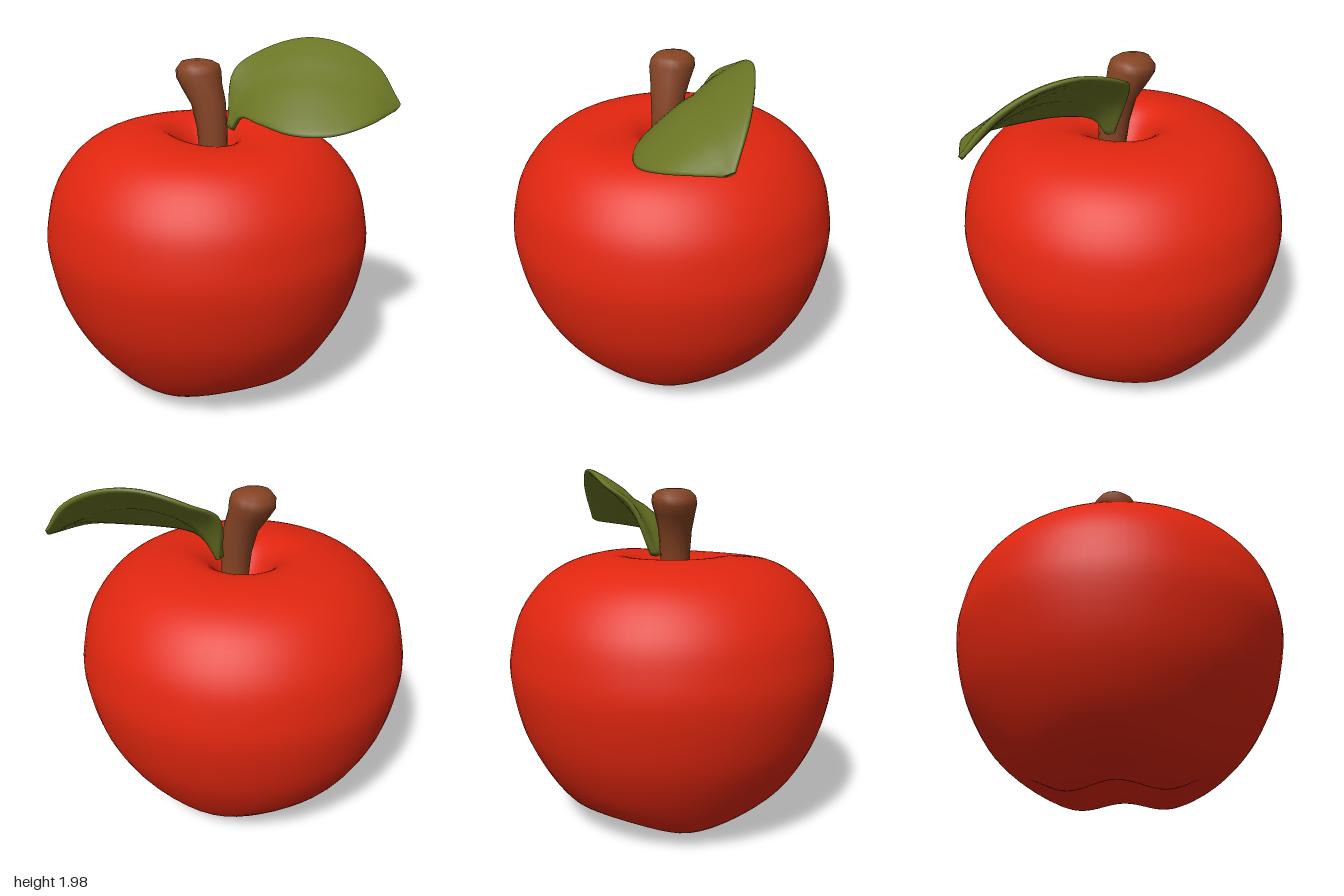
import * as THREE from 'three';
import { mergeVertices } from 'three/addons/utils/BufferGeometryUtils.js';

const mat = (name, color) => {
  const m = new THREE.MeshStandardMaterial({ color });
  m.name = name;
  return m;
};
const V = (p) => new THREE.Vector3(...p);
const curve = (pts) => new THREE.CatmullRomCurve3(pts.map(V));

// Weld coincident points so the surface shades smoothly
function smooth(geo) {
  geo.deleteAttribute('uv');
  geo.deleteAttribute('normal');
  const g = mergeVertices(geo, 1e-4);
  g.computeVertexNormals();
  return g;
}

// Closed skin over equal-length rings of points, capped at both ends
function skin(rings) {
  const n = rings[0].length, pos = [], idx = [];
  rings.forEach((ring) => ring.forEach((p) => pos.push(p.x, p.y, p.z)));
  for (let i = 0; i < rings.length - 1; i++) {
    for (let j = 0; j < n; j++) {
      const a = i * n + j, b = i * n + (j + 1) % n;
      idx.push(a, b, a + n, b, b + n, a + n);
    }
  }
  const last = (rings.length - 1) * n;
  for (let j = 1; j < n - 1; j++) {
    idx.push(0, j + 1, j, last, last + j, last + j + 1);
  }
  const g = new THREE.BufferGeometry();
  g.setAttribute('position', new THREE.Float32BufferAttribute(pos, 3));
  g.setIndex(idx);
  g.computeVertexNormals();
  return g;
}

// Fruit body: lathed profile with four lobes below and an uneven rim above
function fruitGeometry() {
  const profile = new THREE.SplineCurve([
    [0, 0.16], [0.1, 0.13], [0.21, 0.05], [0.32, 0.01], [0.43, 0.03], [0.56, 0.1],
    [0.66, 0.2], [0.785, 0.4], [0.87, 0.6], [0.92, 0.86], [0.905, 1.04], [0.85, 1.22],
    [0.72, 1.39], [0.55, 1.49], [0.33, 1.53], [0.2, 1.48], [0.11, 1.36], [0, 1.27],
  ].map((p) => new THREE.Vector2(...p))).getPoints(68);
  profile.forEach((p) => { p.x = Math.max(0, p.x); });
  profile[0].x = profile[profile.length - 1].x = 0;
  const geo = new THREE.LatheGeometry(profile, 56);
  const pos = geo.attributes.position;
  for (let i = 0; i < pos.count; i++) {
    let x = pos.getX(i), y = pos.getY(i), z = pos.getZ(i);
    const r = Math.hypot(x, z), a = Math.atan2(z, x);
    if (y < 0.5) {
      const notch = 0.5 - 0.5 * Math.cos(4 * a);
      const pull = 1 - 0.05 * notch * Math.exp(-(((y - 0.1) / 0.12) ** 2));
      y += 0.06 * notch * Math.exp(-(((r - 0.4) / 0.17) ** 2));
      x *= pull;
      z *= pull;
    } else if (y > 1.2) {
      const dip = Math.max(0, Math.cos(a - Math.PI / 4)) ** 2;
      y -= 0.05 * dip * Math.exp(-(((r - 0.3) / 0.2) ** 2));
    }
    pos.setXYZ(i, x, y, z);
  }
  return smooth(geo);
}

// Stem: rings along a bent path, swelling to a rounded knob
function stemGeometry() {
  const stations = [ // x, y, z, radius
    [0.02, 1.22, 0.02, 0.08], [0.01, 1.4, 0.03, 0.08], [0.0, 1.52, 0.025, 0.085],
    [-0.025, 1.66, 0.02, 0.095], [-0.07, 1.75, 0.01, 0.112], [-0.092, 1.81, 0.003, 0.126],
    [-0.1, 1.85, 0, 0.12], [-0.1, 1.878, 0, 0.09], [-0.1, 1.888, 0, 0.045],
  ];
  return skin(stations.map(([x, y, z, r]) => {
    const ring = [];
    for (let j = 0; j < 14; j++) {
      const a = -j / 14 * Math.PI * 2;
      const tilt = y > 1.6 && y < 1.86 ? 0.12 : 0;
      ring.push(new THREE.Vector3(x + r * Math.cos(a), y + tilt * r * Math.cos(a), z + r * Math.sin(a)));
    }
    return ring;
  }));
}

// Leaf: thick cross-sections spanning back edge, midrib and front edge
function leafGeometry() {
  const back = curve([[0.05, 1.52, -0.1], [0.025, 1.8, -0.22], [0.13, 1.9, -0.35], [0.37, 1.98, -0.42],
    [0.6, 1.955, -0.43], [0.8, 1.85, -0.41], [0.945, 1.67, -0.355]]);
  const mid = curve([[0.065, 1.51, -0.08], [0.12, 1.66, -0.12], [0.25, 1.76, -0.14], [0.45, 1.81, -0.16],
    [0.63, 1.8, -0.2], [0.8, 1.75, -0.26], [0.95, 1.655, -0.335]]);
  const front = curve([[0.09, 1.5, -0.05], [0.15, 1.58, -0.02], [0.3, 1.58, 0.08], [0.5, 1.555, 0.145],
    [0.7, 1.56, 0.11], [0.85, 1.6, -0.02], [0.945, 1.64, -0.3]]);
  const at = (u, v) => new THREE.Vector3()
    .addScaledVector(back.getPoint(u), 2 * (v - 0.5) * (v - 1))
    .addScaledVector(mid.getPoint(u), 4 * v * (1 - v))
    .addScaledVector(front.getPoint(u), 2 * v * (v - 0.5));
  const rings = [], steps = 28, sides = 28;
  for (let i = 0; i <= steps; i++) {
    const u = i / steps, ring = [];
    const across = at(u, 1).sub(at(u, 0));
    const along = mid.getTangent(u);
    const normal = across.cross(along).normalize();
    const thick = 0.022 * Math.min(1, 0.5 + 4 * (1 - u));
    for (let j = 0; j < sides; j++) {
      const a = j / sides * Math.PI * 2, s = Math.sin(a);
      const v = 0.5 - 0.5 * Math.cos(a);
      const vein = 0.012 * Math.sin(Math.PI * u) * Math.exp(-(((v - 0.5) / 0.07) ** 2));
      const offset = thick * Math.sign(s) * Math.sqrt(Math.abs(s)) - vein;
      ring.push(at(u, v).addScaledVector(normal, offset));
    }
    rings.push(ring);
  }
  return skin(rings.map((r) => r.reverse()));
}

export function createModel() {
  const group = new THREE.Group();
  group.name = 'apple';
  const add = (name, geo, material) => {
    const mesh = new THREE.Mesh(geo, material);
    mesh.name = name;
    group.add(mesh);
    return mesh;
  };
  add('fruit', fruitGeometry(), mat('red skin', 0xe0260f)).position.x = -0.045;
  add('stem', stemGeometry(), mat('brown bark', 0x864424));
  const green = mat('leaf green', 0x6b7524);
  green.side = THREE.DoubleSide;
  add('leaf', leafGeometry(), green);
  return group;
}
